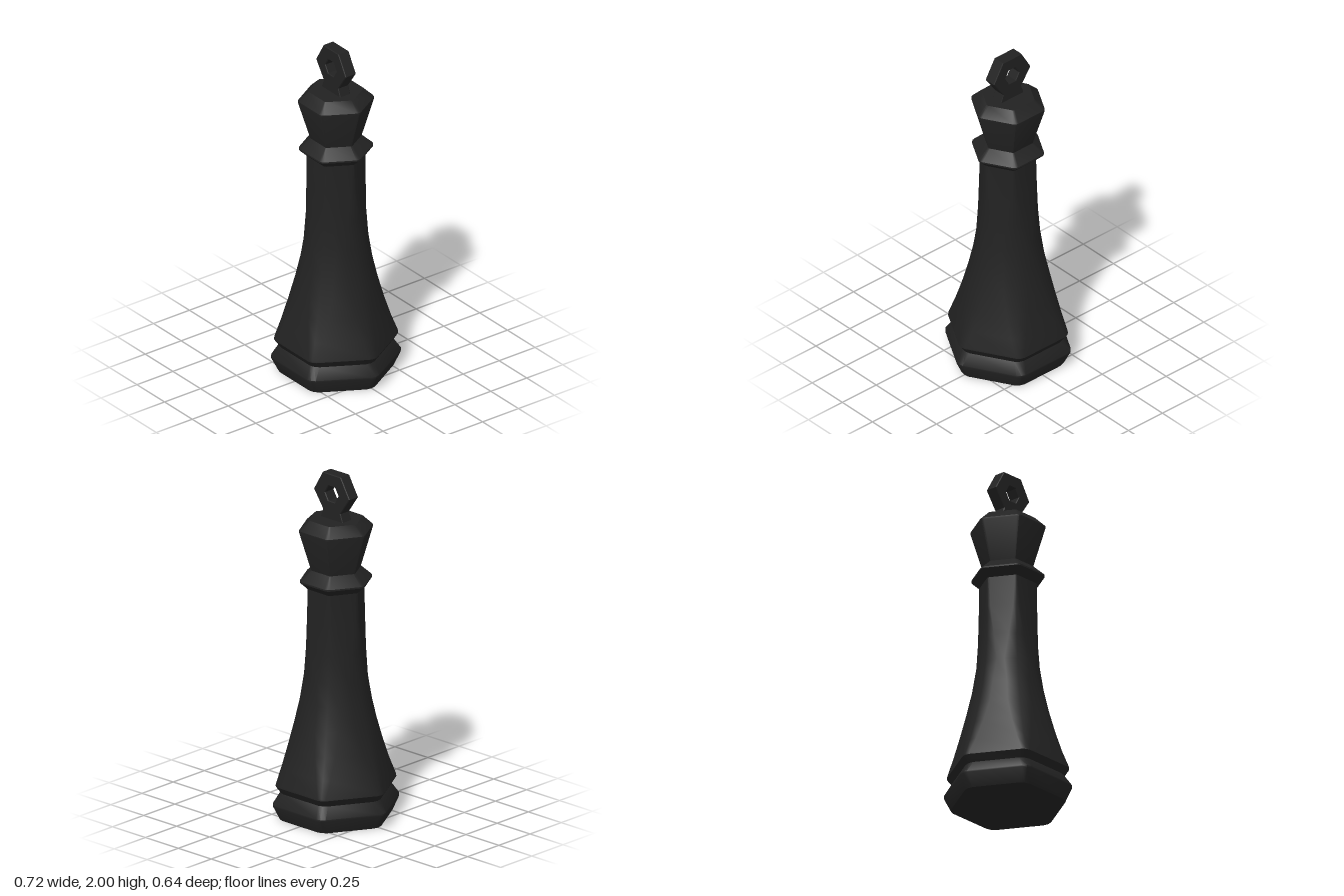
import * as THREE from 'three';
import { toCreasedNormals } from 'three/addons/utils/BufferGeometryUtils.js';

// Hexagonal cross-section with softened corners: r = reach at corners, a = reach at flats
function hexSection(y, r, a) {
  const tip = Math.PI / 6;
  const d = tip - Math.acos(Math.min(1, a / (r * 0.985)));
  const edge = a / Math.cos(tip - d);
  const points = [];
  for (let i = 0; i < 6; i++) {
    const c = (i * Math.PI) / 3;
    for (const [angle, radius] of [[c - d, edge], [c, r], [c + d, edge]]) {
      points.push([Math.cos(angle) * radius, y, Math.sin(angle) * radius]);
    }
  }
  return points;
}

// Skin a stack of [y, r, a] rows and cap both ends
function hexLoft(rows, crease) {
  const sections = rows.map((row) => hexSection(...row));
  const n = sections[0].length;
  const last = sections.length - 1;
  const pos = [];
  const tri = (...corners) => corners.forEach((p) => pos.push(...p));
  for (let k = 0; k < last; k++) {
    for (let j = 0; j < n; j++) {
      const m = (j + 1) % n;
      const lo = sections[k], hi = sections[k + 1];
      tri(lo[j], hi[j], hi[m]);
      tri(lo[j], hi[m], lo[m]);
    }
  }
  for (let j = 0; j < n; j++) {
    const m = (j + 1) % n;
    tri([0, rows[0][0], 0], sections[0][j], sections[0][m]);
    tri([0, rows[last][0], 0], sections[last][m], sections[last][j]);
  }
  const geometry = new THREE.BufferGeometry();
  geometry.setAttribute('position', new THREE.Float32BufferAttribute(pos, 3));
  return toCreasedNormals(geometry, crease);
}

// Ring silhouette with flared foot and hexagonal hole, given thickness along z
function ringGeometry() {
  const bevel = 0.004;
  const shape = new THREE.Shape([
    [0.083, 1.73], [0.062, 1.785], [0.131, 1.885], [0.066, 1.996],
    [-0.066, 1.996], [-0.131, 1.885], [-0.062, 1.785], [-0.083, 1.73],
  ].map(([x, y]) => new THREE.Vector2(x, y)));
  const hole = [];
  for (let i = 0; i < 6; i++) {
    const t = (-i * Math.PI) / 3;
    hole.push(new THREE.Vector2(Math.cos(t) * 0.055, 1.885 + Math.sin(t) * 0.055));
  }
  shape.holes.push(new THREE.Path(hole));
  const depth = 0.064;
  const geometry = new THREE.ExtrudeGeometry(shape, {
    depth, bevelEnabled: true, bevelSize: bevel, bevelThickness: bevel, bevelSegments: 1,
  });
  return geometry.translate(0, 0, -depth / 2);
}

export function createModel() {
  const model = new THREE.Group();
  const black = new THREE.MeshStandardMaterial({ color: 0x222222 });
  black.name = 'black';

  const add = (name, geometry) => {
    const mesh = new THREE.Mesh(geometry, black);
    mesh.name = name;
    model.add(mesh);
  };

  // Foot with a bulging rim
  add('base', hexLoft([
    [0, 0.322, 0.288], [0.08, 0.362, 0.321], [0.09, 0.362, 0.321], [0.155, 0.316, 0.283],
  ], 0.6));

  // Flared shaft rising from the lower lip
  add('shaft', hexLoft([
    [0.155, 0.316, 0.283], [0.195, 0.346, 0.307], [0.205, 0.344, 0.305],
    [0.3, 0.307, 0.28], [0.42, 0.268, 0.252], [0.55, 0.232, 0.223],
    [0.68, 0.202, 0.195], [0.82, 0.18, 0.176], [0.98, 0.168, 0.16],
    [1.16, 0.165, 0.149], [1.34, 0.163, 0.143],
  ], 0.6));

  // Narrow collar under the head
  add('collar', hexLoft([
    [1.335, 0.162, 0.142], [1.377, 0.207, 0.184], [1.386, 0.207, 0.184], [1.445, 0.142, 0.124],
  ], 0.6));

  // Flaring head with a chamfered top
  add('head', hexLoft([
    [1.44, 0.142, 0.124], [1.672, 0.212, 0.187], [1.682, 0.211, 0.187], [1.737, 0.153, 0.134],
  ], 0.6));

  // Upright ring on top
  add('topRing', ringGeometry());

  return model;
}
